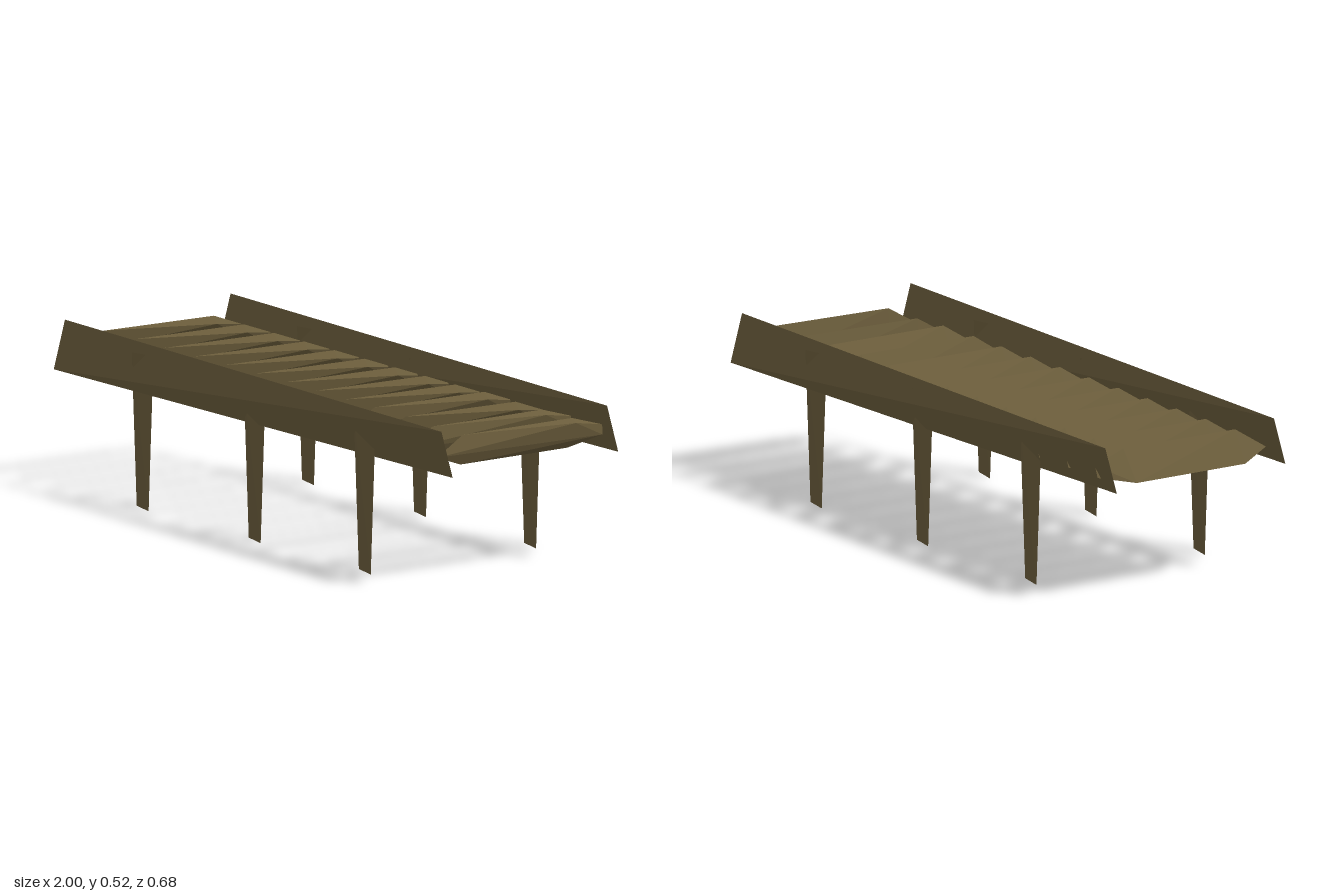
import * as THREE from 'three';
import { ConvexGeometry } from 'three/addons/geometries/ConvexGeometry.js';

const wood = new THREE.MeshStandardMaterial({ color: 0x6a5c3b, flatShading: true });
wood.name = 'weathered wood';

function add(parent, geometry, name, x, y, z) {
  const mesh = new THREE.Mesh(geometry, wood);
  mesh.name = name;
  mesh.position.set(x, y, z);
  parent.add(mesh);
  return mesh;
}

function hull(points) {
  return new ConvexGeometry(points.map((p) => new THREE.Vector3(...p)));
}

// Hewn board: four corners, each end edge slanted the opposite way.
// depth is the z of the top left and bottom right corners.
function twistedBoard(width, height, depth) {
  const w = width / 2, h = height / 2;
  return hull([
    [-w, h, depth], [w, -h, depth],
    [-w, -h, -depth], [w, h, -depth],
  ]);
}

// Tilted, twisted slat with a pointed tip at each end
function slatGeometry() {
  return hull([
    [-0.012, -0.016, 0.3],
    [-0.044, -0.049, 0.2], [0.011, 0.049, 0.2],
    [-0.044, -0.049, -0.21], [0.045, 0.023, -0.21], [0.028, 0.046, -0.21],
    [0.012, -0.029, -0.318], [0.026, 0.006, -0.318],
  ]);
}

export function createModel() {
  const model = new THREE.Group();
  model.name = 'raised slatted walkway';

  const railGeo = twistedBoard(2, 0.151, -0.0215);
  const legGeo = twistedBoard(0.087, 0.486, 0.0095);

  // Both sides use the same boards
  for (const side of [1, -1]) {
    const label = side > 0 ? 'front' : 'back';
    add(model, railGeo, label + 'Rail', 0, 0.4425, side * 0.318);
    for (const x of [-0.571, 0.007, 0.575]) {
      add(model, legGeo, label + 'Leg', x, 0.243, side * 0.3175);
    }
  }

  // Cross slats, a few of them slipped to a steeper angle
  const slatGeo = slatGeometry();
  const slipped = { 9: 0.12, 11: 0.35, 12: 0.4 };
  for (let i = 0; i < 13; i++) {
    const slat = add(model, slatGeo, 'slat', -0.94 + i * 0.1557, 0.434, 0);
    slat.rotation.z = slipped[i] ?? 0;
    if (i > 10) slat.scale.set(0.85, 0.85, 1);
  }
  return model;
}
